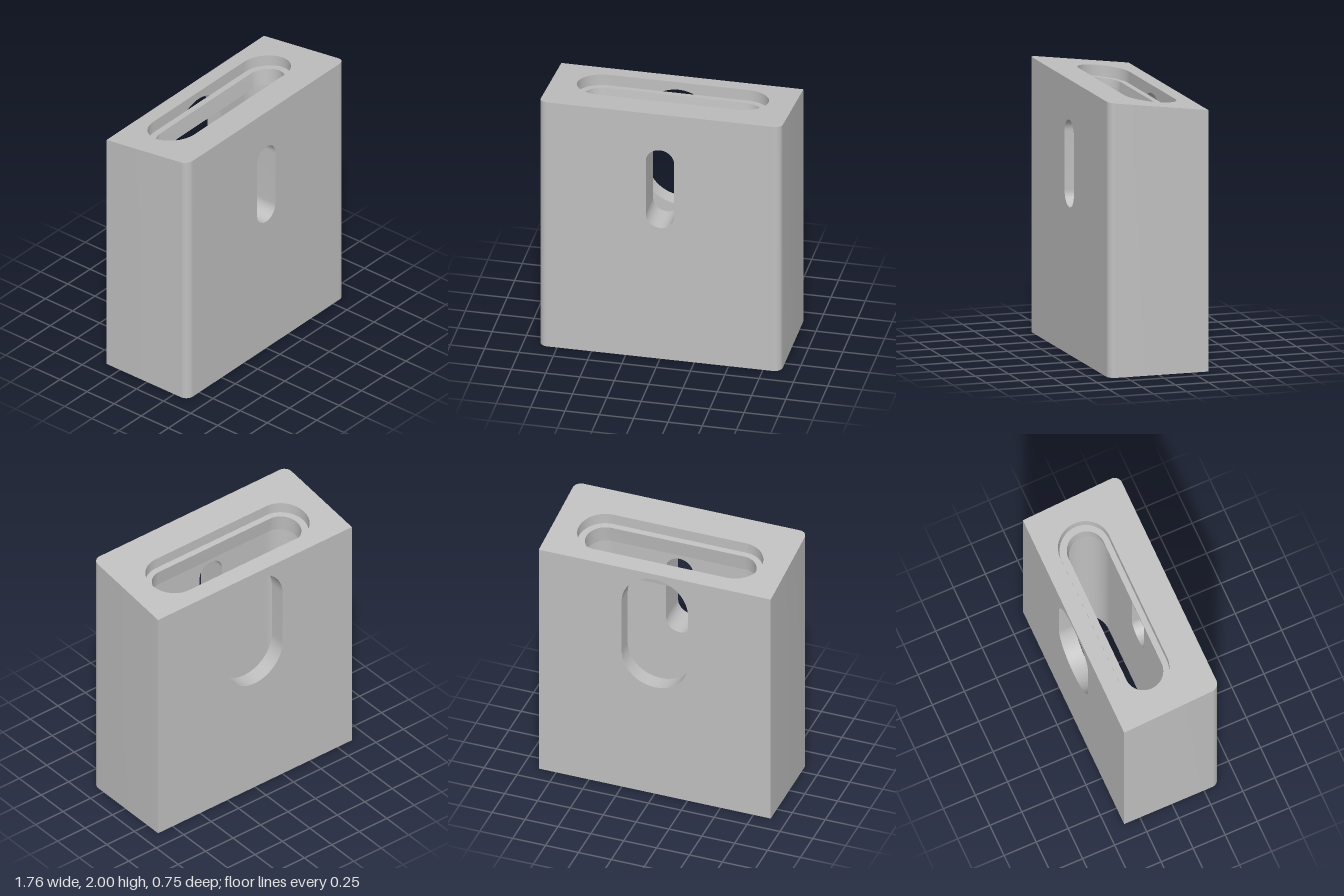
import * as THREE from 'three';
import { toCreasedNormals } from 'three/addons/utils/BufferGeometryUtils.js';

const W = 0.882, D = 0.373, CORNER = 0.06;        // half width, half depth, front corner radius
const CAV = { half: 0.505, r: 0.19, z: -0.06 };   // upright shaft through the block
const SLOT_Y = 1.39, SLOT_HALF = 0.215;           // both wall slots share this centre
const SLOPE = 0.1 / (2 * D);
const topY = (z) => 1.95 + SLOPE * z;

// Stadium outline, long in x, centred on (0, cy)
function stadium(Type, half, r, cy = 0) {
  const s = new Type();
  s.absarc(half, cy, r, -Math.PI / 2, Math.PI / 2, false);
  s.absarc(-half, cy, r, Math.PI / 2, Math.PI * 1.5, false);
  s.closePath();
  return s;
}

// Upright stadium outline for the wall slots
function slotOutline(Type, r) {
  const s = new Type();
  s.absarc(0, SLOT_Y + SLOT_HALF, r, 0, Math.PI, false);
  s.absarc(0, SLOT_Y - SLOT_HALF, r, Math.PI, Math.PI * 2, false);
  s.closePath();
  return s;
}

// Removes every triangle lying in a plane of constant z
function dropFlat(geo) {
  const g = geo.index ? geo.toNonIndexed() : geo;
  const p = g.attributes.position.array, kept = [];
  for (let i = 0; i < p.length; i += 9) {
    const flat = Math.abs(p[i + 2] - p[i + 5]) < 1e-5 && Math.abs(p[i + 2] - p[i + 8]) < 1e-5;
    if (!flat) for (let k = 0; k < 9; k++) kept.push(p[i + k]);
  }
  const out = new THREE.BufferGeometry();
  out.setAttribute('position', new THREE.Float32BufferAttribute(kept, 3));
  return out;
}

// Block outline seen from above, with the shaft as a hole; slanted top.
// The four flat walls are left open for the slotted panels.
function shellGeometry() {
  const plan = new THREE.Shape();
  plan.moveTo(W, D);
  plan.lineTo(-W, D);
  plan.lineTo(-W, -D + CORNER);
  plan.absarc(-W + CORNER, -D + CORNER, CORNER, Math.PI, Math.PI * 1.5, false);
  plan.absarc(W - CORNER, -D + CORNER, CORNER, -Math.PI / 2, 0, false);
  plan.closePath();
  plan.holes.push(stadium(THREE.Path, CAV.half, CAV.r, -CAV.z));
  const geo = new THREE.ExtrudeGeometry(plan, { depth: 1, bevelEnabled: false, curveSegments: 24 });
  geo.rotateX(-Math.PI / 2);
  const p = geo.attributes.position;
  for (let i = 0; i < p.count; i++) p.setY(i, p.getY(i) > 0.5 ? topY(p.getZ(i)) : 0);
  return dropFlat(geo);
}

// Flat wall at z with a slot cut in it, facing +z or -z
function panelGeometry(halfWidth, z, facing, r) {
  const h = topY(z);
  const s = new THREE.Shape([[-halfWidth, 0], [halfWidth, 0], [halfWidth, h], [-halfWidth, h]]
    .map(([x, y]) => new THREE.Vector2(x, y)));
  s.holes.push(slotOutline(THREE.Path, r));
  const geo = new THREE.ShapeGeometry(s, 24).toNonIndexed();
  if (facing < 0) {
    geo.rotateY(Math.PI);
  }
  return geo.translate(0, 0, z);
}

// Inward-facing sides of a slot between z0 and z1
function tunnelGeometry(r, z0, z1) {
  const geo = dropFlat(new THREE.ExtrudeGeometry(slotOutline(THREE.Shape, r),
    { depth: z1 - z0, bevelEnabled: false, curveSegments: 24 })).translate(0, 0, z0);
  // Reverse the corner order so the sides face into the slot
  const p = geo.attributes.position.array;
  for (let i = 0; i < p.length; i += 9) {
    for (let k = 0; k < 3; k++) [p[i + 3 + k], p[i + 6 + k]] = [p[i + 6 + k], p[i + 3 + k]];
  }
  return geo;
}

// Ring inside the shaft, tilted to match the slanted top
function collarGeometry() {
  const topDepth = 0.08, bottomDepth = 0.205, tilt = Math.atan(SLOPE);
  const ring = stadium(THREE.Shape, CAV.half, CAV.r);
  ring.holes.push(stadium(THREE.Path, CAV.half, 0.138));
  const geo = new THREE.ExtrudeGeometry(ring,
    { depth: bottomDepth - topDepth, bevelEnabled: false, curveSegments: 24 });
  geo.translate(0, 0, -bottomDepth);
  geo.rotateX(-Math.PI / 2 - tilt);
  return geo.translate(0, topY(CAV.z), CAV.z);
}

export function createModel() {
  const group = new THREE.Group();
  group.name = 'slottedBlock';
  const grey = new THREE.MeshStandardMaterial({ color: 0xc0c0c0 });
  grey.name = 'grey';

  const add = (name, geo) => {
    geo.computeVertexNormals();
    const mesh = new THREE.Mesh(toCreasedNormals(geo, 0.5), grey);
    mesh.name = name;
    group.add(mesh);
  };

  const frontR = 0.103, backR = 0.252;
  const shaftFront = CAV.z + CAV.r, shaftBack = CAV.z - CAV.r;

  add('blockShell', shellGeometry());
  add('frontWall', panelGeometry(W - CORNER, D, 1, frontR));
  add('shaftFrontWall', panelGeometry(CAV.half, shaftFront, -1, frontR));
  add('frontSlot', tunnelGeometry(frontR, shaftFront, D));
  add('backWall', panelGeometry(W, -D, -1, backR));
  add('shaftBackWall', panelGeometry(CAV.half, shaftBack, 1, backR));
  add('backWindow', tunnelGeometry(backR, -D, shaftBack));
  add('shaftCollar', collarGeometry());
  return group;
}
